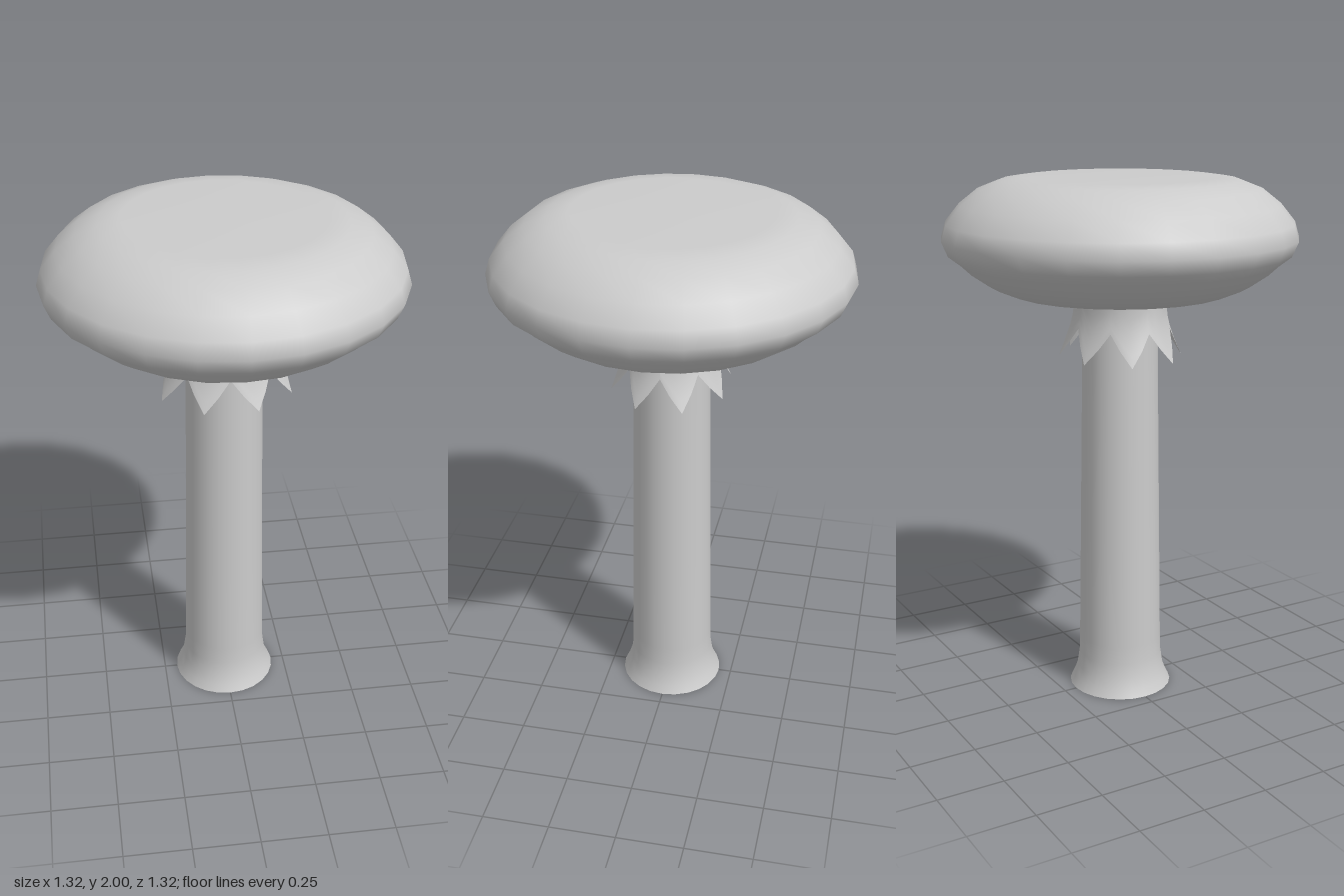
import * as THREE from 'three';

const material = new THREE.MeshStandardMaterial({ color: 0xcccccc });
const openMaterial = new THREE.MeshStandardMaterial({ color: 0xcccccc, side: THREE.DoubleSide });

// Round part from [radius, height] pairs, listed bottom to top
function turned(name, profile, mat) {
  const points = profile.map(([r, y]) => new THREE.Vector2(r, y));
  const mesh = new THREE.Mesh(new THREE.LatheGeometry(points, 24), mat);
  mesh.name = name;
  return mesh;
}

// Oval collar whose lower half is cut into eight flared, pointed teeth
function createSkirt() {
  const teeth = 8, perTooth = 4, segments = teeth * perTooth, rows = 6;
  const top = 1.58, valley = 1.45, tip = 1.335;
  const positions = [], indices = [];
  for (let j = 0; j <= rows; j++) {
    for (let i = 0; i <= segments; i++) {
      const a = (i / segments) * Math.PI * 2;
      // 0 in the notches, 1 at the tips
      const wave = 1 - Math.abs(((i % perTooth) / perTooth) * 2 - 1);
      const y = THREE.MathUtils.lerp(top, THREE.MathUtils.lerp(valley, tip, wave), j / rows);
      const flare = 0.06 * Math.pow(Math.max(0, (1.52 - y) / (1.52 - tip)), 1.6);
      positions.push((0.2 + flare) * Math.cos(a), y, (0.165 + flare) * Math.sin(a));
      if (j < rows && i < segments) {
        const p = j * (segments + 1) + i, q = p + segments + 1;
        indices.push(p, p + 1, q, p + 1, q + 1, q);
      }
    }
  }
  const geometry = new THREE.BufferGeometry();
  geometry.setAttribute('position', new THREE.Float32BufferAttribute(positions, 3));
  geometry.setIndex(indices);
  geometry.computeVertexNormals();
  const mesh = new THREE.Mesh(geometry, openMaterial);
  mesh.name = 'skirt';
  return mesh;
}

export function createModel() {
  const group = new THREE.Group();
  group.name = 'mushroom';

  // Hollow stem with a flared, open foot
  group.add(turned('stem', [
    [0.2, 0], [0.185, 0.03], [0.17, 0.075], [0.162, 0.13], [0.16, 0.2],
    [0.154, 0.6], [0.148, 1.0], [0.142, 1.4], [0.14, 1.58],
  ], openMaterial));

  group.add(createSkirt());

  // Cushion-like cap, flat on top and underneath
  group.add(turned('cap', [
    [0, 1.565], [0.32, 1.566], [0.41, 1.58], [0.49, 1.613], [0.555, 1.657],
    [0.59, 1.69], [0.637, 1.726], [0.66, 1.78], [0.643, 1.837], [0.59, 1.902],
    [0.52, 1.957], [0.44, 1.988], [0.36, 1.999], [0, 2],
  ], material));

  return group;
}
